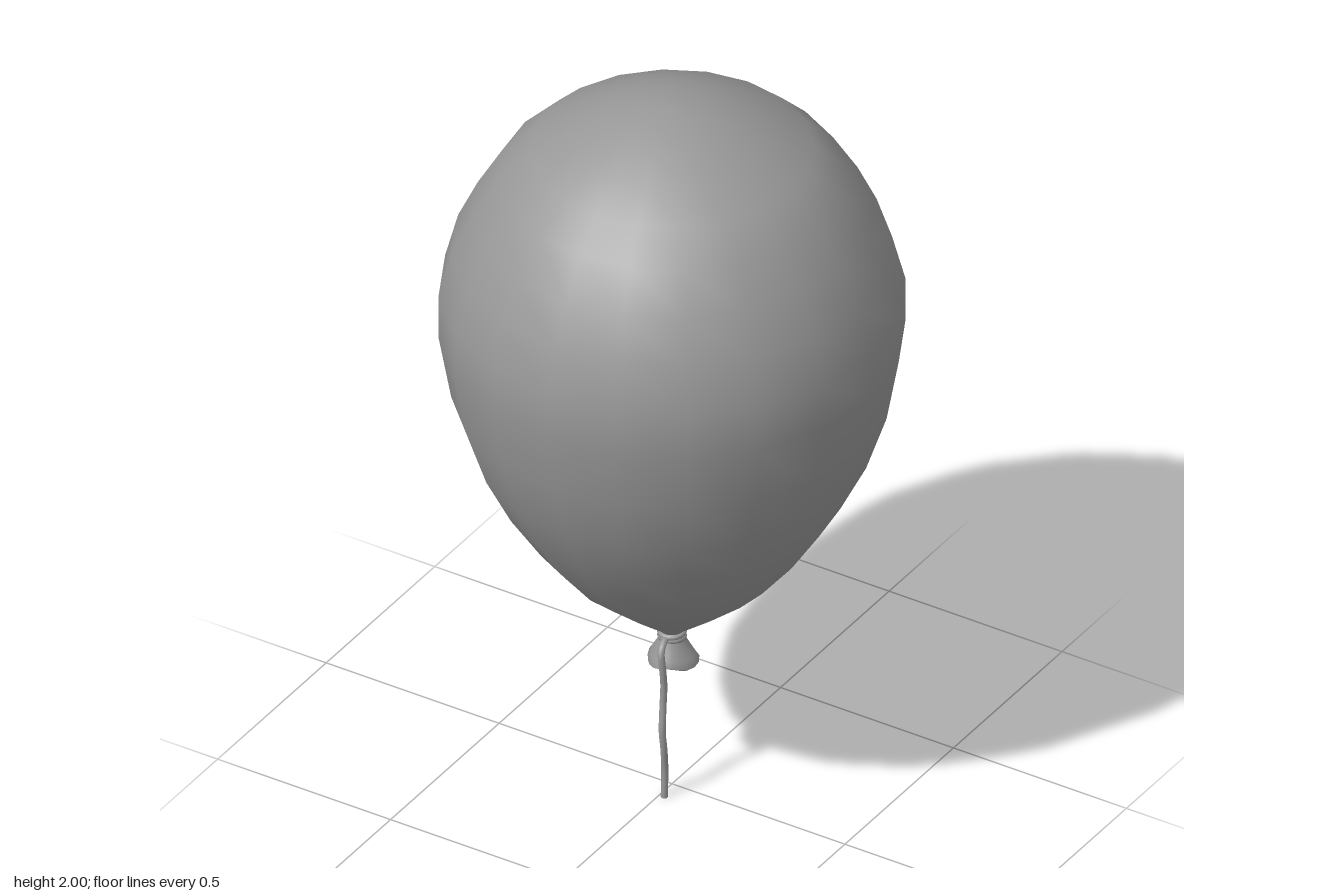
import * as THREE from 'three';

const material = new THREE.MeshStandardMaterial({ color: 0x989898 });
const thinMaterial = new THREE.MeshStandardMaterial({ color: 0x989898, side: THREE.DoubleSide });

function add(group, name, geometry, mat = material) {
  const mesh = new THREE.Mesh(geometry, mat);
  mesh.name = name;
  group.add(mesh);
  return mesh;
}

const lathe = (points, sides) =>
  new THREE.LatheGeometry(points.map(([r, y]) => new THREE.Vector2(r, y)), sides);

export function createModel() {
  const group = new THREE.Group();
  group.name = 'balloon';

  // Inflated body, bottom to top
  add(group, 'body', lathe([
    [0.024, 0.45], [0.035, 0.464], [0.145, 0.553], [0.26, 0.652], [0.345, 0.757],
    [0.425, 0.88], [0.49, 1.01], [0.542, 1.165], [0.573, 1.34], [0.573, 1.465],
    [0.54, 1.59], [0.49, 1.695], [0.425, 1.8], [0.35, 1.872], [0.25, 1.928],
    [0.17, 1.968], [0.09, 1.991], [0.03, 1.999], [0, 2],
  ], 20));

  // Neck flaring into a ruffled lip with a shallow hollow underneath
  const lip = lathe([
    [0, 0.392], [0.03, 0.384], [0.056, 0.367], [0.062, 0.372],
    [0.053, 0.39], [0.041, 0.415], [0.031, 0.436], [0.026, 0.456],
  ], 20);
  const pos = lip.attributes.position;
  for (let i = 0; i < pos.count; i++) {
    const x = pos.getX(i), y = pos.getY(i), z = pos.getZ(i);
    const flare = THREE.MathUtils.clamp((0.44 - y) / 0.07, 0, 1);
    const a = Math.atan2(x, z);
    const s = 1 + flare * (0.07 * Math.cos(3 * a) - 0.06 * Math.cos(2 * a));
    const ripple = Math.min(1, Math.hypot(x, z) / 0.05);
    pos.setXYZ(i, x * s, y + flare * ripple * 0.006 * Math.sin(3 * a + 0.5), z * s);
  }
  lip.computeVertexNormals();
  add(group, 'lip', lip, thinMaterial);

  // String wound round the neck
  for (const [y, tilt] of [[0.452, 0.06], [0.439, -0.08]]) {
    const loop = add(group, 'stringLoop', new THREE.TorusGeometry(0.029, 0.008, 8, 20));
    loop.rotation.x = Math.PI / 2 + tilt;
    loop.position.y = y;
  }

  // Hanging string
  const path = new THREE.CatmullRomCurve3([
    [0, 0.446, 0.022], [0.004, 0.443, 0.045], [0.01, 0.425, 0.066], [0.014, 0.39, 0.067],
    [0.014, 0.33, 0.06], [0.013, 0.27, 0.062], [0.017, 0.2, 0.072], [0.019, 0.15, 0.068],
    [0.015, 0.08, 0.057], [0.014, 0, 0.058],
  ].map(p => new THREE.Vector3(...p)));
  add(group, 'string', new THREE.TubeGeometry(path, 36, 0.009, 8), thinMaterial);

  // Flat cut end of the string
  const end = add(group, 'stringEnd', new THREE.CircleGeometry(0.009, 8));
  end.rotation.x = Math.PI / 2;
  end.position.set(0.014, 0, 0.058);

  return group;
}
